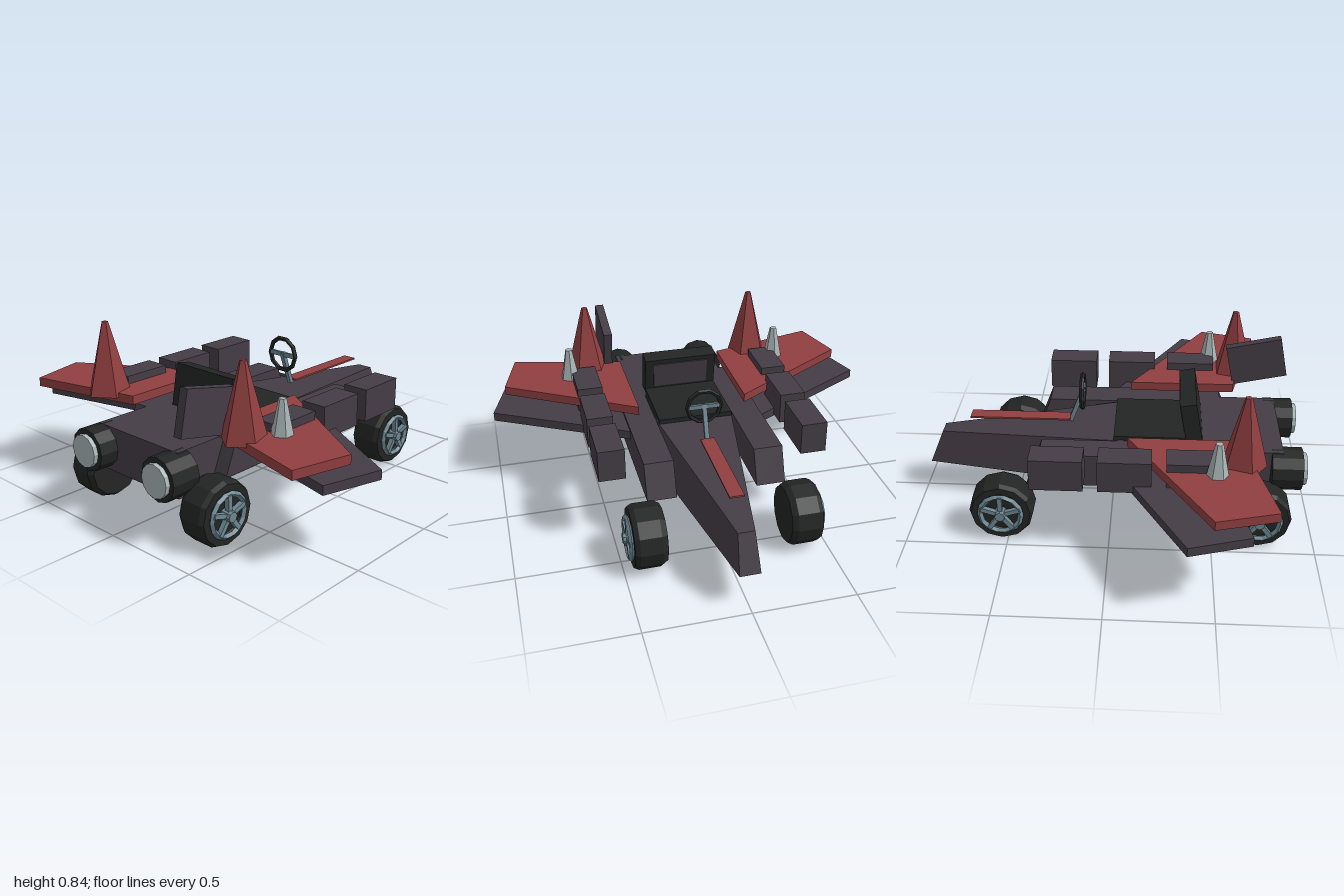
import * as THREE from 'three';
import { ConvexGeometry } from 'three/addons/geometries/ConvexGeometry.js';

const material = (name, color) => {
  const m = new THREE.MeshStandardMaterial({ color, flatShading: true });
  m.name = name;
  return m;
};

export function createModel() {
  const car = new THREE.Group();
  car.name = 'wingedCar';
  const purple = material('dark plum', 0x453d46);
  const red = material('dull red', 0x913f40);
  const black = material('rubber black', 0x232524);
  const steel = material('blue steel', 0x6d8792);
  const silver = material('pale silver', 0xaab6b7);

  const add = (name, geometry, mat, x = 0, y = 0, z = 0, parent = car) => {
    const mesh = new THREE.Mesh(geometry, mat);
    mesh.name = name;
    mesh.position.set(x, y, z);
    parent.add(mesh);
    return mesh;
  };
  const box = (name, w, h, d, mat, x, y, z, parent) =>
    add(name, new THREE.BoxGeometry(w, h, d), mat, x, y, z, parent);
  // Convex solid from [x, y, z] corners
  const solid = (name, corners, mat) =>
    add(name, new ConvexGeometry(corners.map(c => new THREE.Vector3(...c))), mat);
  // Flat plate from an [x, z] outline, mirrored by s
  const plate = (name, outline, y0, y1, mat, s) =>
    solid(name, [y0, y1].flatMap(y => outline.map(([x, z]) => [s * x, y, z])), mat);

  // Tapered nose hull
  solid('noseHull', [-1, 1].flatMap(s => [
    [s * 0.05, 0.18, -0.955], [s * 0.25, 0.18, 0.2],
    [s * 0.04, 0.36, -0.88], [s * 0.2, 0.43, 0.06],
  ]), purple);
  box('noseStripe', 0.07, 0.009, 0.51, red, 0, 0.445, -0.475);

  // Rear deck and seat
  box('rearDeck', 0.54, 0.22, 0.5, purple, 0, 0.32, 0.587);
  box('seatCushion', 0.38, 0.05, 0.36, black, 0, 0.425, 0.19);
  const seatBack = box('seatBack', 0.38, 0.21, 0.08, black, 0, 0.53, 0.39);
  box('seatPanel', 0.29, 0.14, 0.008, purple, 0, 0.01, -0.042, seatBack);
  seatBack.rotation.x = -0.18;

  // Steering wheel, crossbar and column
  const steering = new THREE.Group();
  steering.name = 'steering';
  steering.position.set(0, 0.595, -0.155);
  car.add(steering);
  add('steeringRing', new THREE.TorusGeometry(0.085, 0.012, 5, 10), black, 0, 0, 0, steering);
  box('steeringCrossbar', 0.15, 0.022, 0.015, steel, 0, 0, 0, steering);
  const column = box('steeringColumn', 0.022, 0.19, 0.022, steel, 0, -0.08, -0.03, steering);
  column.rotation.x = 0.36;

  // Slanted single fin
  const fin = box('sideFin', 0.045, 0.215, 0.29, purple, 0.347, 0.615, 0.74);
  fin.rotation.x = -0.21;

  // One wheel, outer face toward +x
  const makeWheel = () => {
    const wheel = new THREE.Group();
    wheel.name = 'wheel';
    const profile = [[0, -0.078], [0.14, -0.078], [0.157, -0.05], [0.157, 0.055],
      [0.145, 0.078], [0.11, 0.078], [0.1, 0.06], [0, 0.06]];
    const tyre = add('tyre', new THREE.LatheGeometry(
      profile.map(p => new THREE.Vector2(...p)), 12), black, 0, 0, 0, wheel);
    tyre.rotation.z = -Math.PI / 2;
    const rim = add('rim', new THREE.TorusGeometry(0.1, 0.014, 4, 14), steel, 0.085, 0, 0, wheel);
    rim.rotation.y = Math.PI / 2;
    const hub = add('hub', new THREE.CylinderGeometry(0.025, 0.032, 0.05, 8), steel, 0.088, 0, 0, wheel);
    hub.rotation.z = -Math.PI / 2;
    for (let i = 0; i < 5; i++) {
      const a = i / 5 * Math.PI * 2;
      const spoke = box('spoke', 0.025, 0.1, 0.022, steel,
        0.085, Math.cos(a) * 0.052, Math.sin(a) * 0.052, wheel);
      spoke.rotation.x = a;
    }
    return wheel;
  };

  for (const s of [-1, 1]) {
    // Side pods with slanted ends
    solid('sidePod', [0.2, 0.345].flatMap(x => [
      [s * x, 0.26, -0.41], [s * x, 0.26, 0.62],
      [s * x, 0.43, -0.345], [s * x, 0.43, 0.55],
    ]), purple);

    // Stacked wings
    plate('lowerWing', [[0.28, -0.04], [1, 0.36], [0.915, 0.645], [0.28, 0.49]],
      0.37, 0.415, purple, s);
    plate('upperWing', [[0.28, 0.08], [0.925, 0.475], [0.85, 0.76], [0.28, 0.62]],
      0.455, 0.5, red, s);

    // Row of blocks through the wings
    for (let i = 0; i < 3; i++)
      box('wingBlock', 0.13, 0.16, 0.25, purple, s * 0.5, 0.46, -0.24 + i * 0.317);

    // Spikes
    add('redSpike', new THREE.CylinderGeometry(0.016, 0.11, 0.36, 5), red, s * 0.46, 0.66, 0.625);
    add('silverSpike', new THREE.CylinderGeometry(0.018, 0.054, 0.18, 6), silver, s * 0.572, 0.575, 0.5);

    // Thrusters
    const casing = add('thruster', new THREE.CylinderGeometry(0.105, 0.105, 0.15, 12), black, s * 0.243, 0.327, 0.857);
    const lens = add('thrusterLens', new THREE.CylinderGeometry(0.08, 0.08, 0.04, 12), silver, s * 0.243, 0.327, 0.934);
    casing.rotation.x = lens.rotation.x = Math.PI / 2;

    // Wheels
    for (const z of [-0.527, 0.725]) {
      const wheel = makeWheel();
      wheel.position.set(s * 0.378, 0.157, z);
      if (s < 0) wheel.rotation.y = Math.PI;
      car.add(wheel);
    }
  }
  return car;
}
